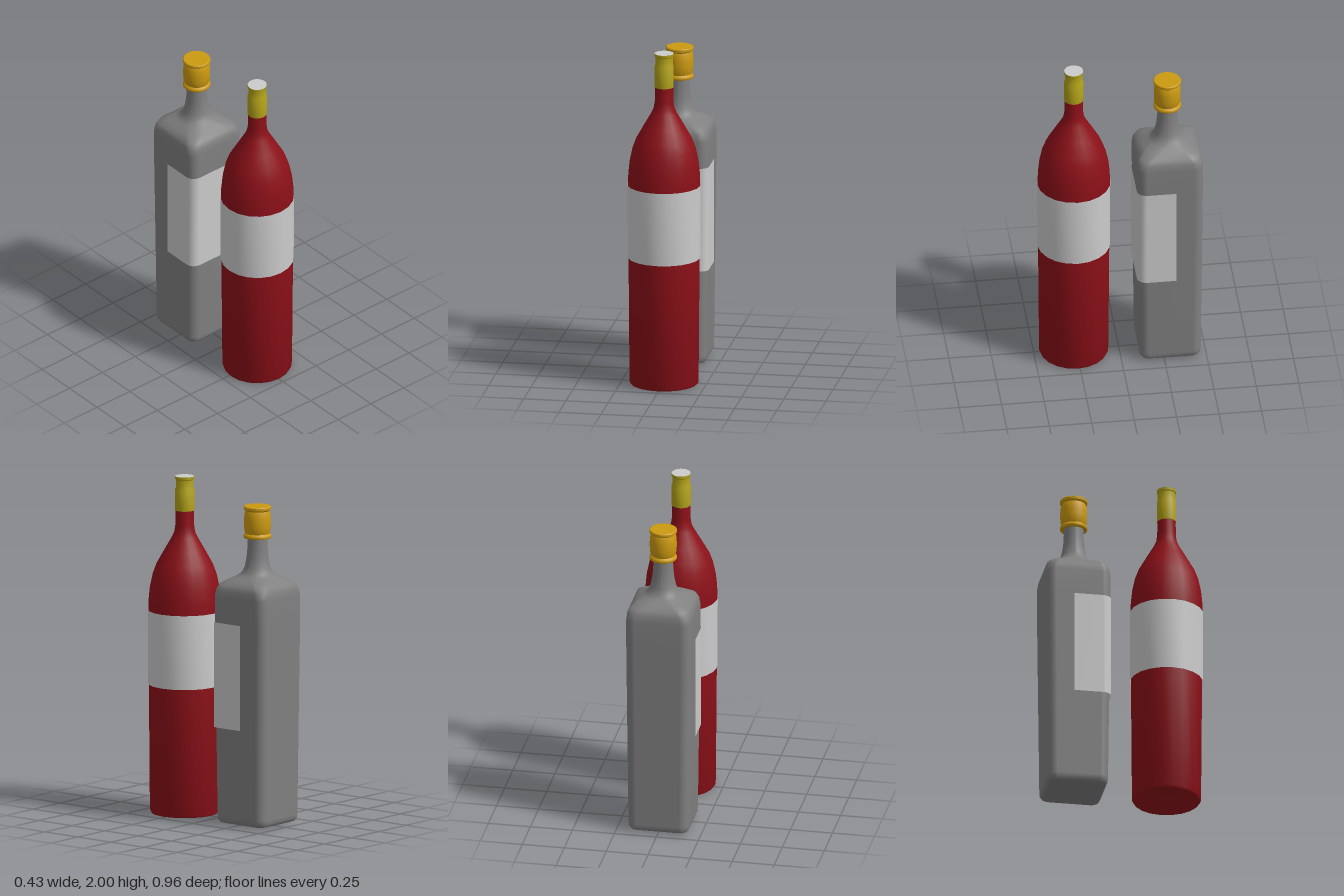
import * as THREE from 'three';
import { toCreasedNormals } from 'three/addons/utils/BufferGeometryUtils.js';

const material = (color) => new THREE.MeshStandardMaterial({ color, side: THREE.DoubleSide });
const grey = material(0xcccccc);
const smokedGlass = material(0x808080);
const redGlass = material(0x8c1018);
const foilGold = material(0xb0a018);
const capGold = material(0xcc9a10);

function addMesh(group, name, geometry, mat) {
  const mesh = new THREE.Mesh(geometry, mat);
  mesh.name = name;
  group.add(mesh);
}

// Turned part from [radius, height] pairs, bottom to top
function turned(profile, sides) {
  const points = profile.map(([r, y]) => new THREE.Vector2(r, y));
  return toCreasedNormals(new THREE.LatheGeometry(points, sides), 0.7);
}

// Rounded square outline; a circle when corner equals half
function roundedSquare(half, corner, steps = 6) {
  const points = [];
  for (let q = 0; q < 4; q++) {
    const sx = q === 0 || q === 3 ? 1 : -1;
    const sz = q < 2 ? 1 : -1;
    for (let i = 0; i <= steps; i++) {
      const a = (q + i / steps) * Math.PI / 2;
      points.push([sx * (half - corner) + corner * Math.cos(a), sz * (half - corner) + corner * Math.sin(a)]);
    }
  }
  return points;
}

// Skin between stacked outlines, each { y, points }
function loft(rings, closed) {
  const n = rings[0].points.length;
  const positions = [], index = [];
  for (const { y, points } of rings) for (const [x, z] of points) positions.push(x, y, z);
  for (let k = 0; k < rings.length - 1; k++) {
    for (let i = 0; i < (closed ? n : n - 1); i++) {
      const a = k * n + i, b = k * n + (i + 1) % n;
      index.push(a, a + n, b, b, a + n, b + n);
    }
  }
  if (closed) {
    // Flat underside
    positions.push(0, rings[0].y, 0);
    const centre = positions.length / 3 - 1;
    for (let i = 0; i < n; i++) index.push(centre, i, (i + 1) % n);
  }
  const geometry = new THREE.BufferGeometry();
  geometry.setAttribute('position', new THREE.Float32BufferAttribute(positions, 3));
  geometry.setIndex(index);
  geometry.computeVertexNormals();
  return geometry;
}

function roundBottle() {
  const group = new THREE.Group();
  group.name = 'roundBottle';
  // Body with a hollow pushed up into the base
  addMesh(group, 'roundBottleBody', turned([
    [0, 0.1], [0.08, 0.09], [0.15, 0.05], [0.185, 0.006], [0.197, 0], [0.204, 0.015],
    [0.21, 0.76], [0.213, 1.2], [0.212, 1.26], [0.204, 1.34], [0.187, 1.42], [0.165, 1.48],
    [0.12, 1.56], [0.074, 1.64], [0.061, 1.67], [0.055, 1.71], [0.054, 1.82],
  ], 20), redGlass);
  addMesh(group, 'roundBottleLabel', turned([[0.214, 0.765], [0.2155, 1.205]], 20), grey);
  addMesh(group, 'neckFoil', turned([
    [0.053, 1.795], [0.057, 1.797], [0.057, 1.92], [0.052, 1.93], [0.052, 1.98], [0.056, 1.984], [0.056, 1.999],
  ], 20), foilGold);
  const top = new THREE.CircleGeometry(0.056, 20).rotateX(-Math.PI / 2).translate(0, 2, 0);
  addMesh(group, 'foilTop', top, grey);
  group.position.z = 0.264;
  return group;
}

function squareBottle() {
  const group = new THREE.Group();
  group.name = 'squareBottle';
  // [height, half width, corner radius]: square base to round neck
  const sections = [
    [0.01, 0.155, 0.04], [0.015, 0.168, 0.045], [0.03, 0.178, 0.05], [0.055, 0.181, 0.053],
    [0.6, 0.187, 0.055], [1.2, 0.193, 0.055], [1.36, 0.193, 0.055], [1.4, 0.188, 0.058],
    [1.43, 0.176, 0.065], [1.455, 0.142, 0.075], [1.475, 0.11, 0.085], [1.495, 0.089, 0.082],
    [1.53, 0.075, 0.075], [1.58, 0.065, 0.065], [1.64, 0.059, 0.059], [1.72, 0.057, 0.057],
  ];
  addMesh(group, 'squareBottleBody', loft(
    sections.map(([y, half, corner]) => ({ y, points: roundedSquare(half, corner) })), true), smokedGlass);

  // Label folded round the front and partway along both sides
  const front = roundedSquare(0.197, 0.055).slice(0, 14);
  const strip = [[0.197, -0.03], ...front, [-0.197, -0.03]];
  addMesh(group, 'squareBottleLabel', loft([{ y: 0.58, points: strip }, { y: 1.205, points: strip }], false), grey);

  // Stopper with flanges at both ends
  addMesh(group, 'stopper', turned([
    [0.05, 1.7], [0.078, 1.7], [0.081, 1.706], [0.081, 1.714], [0.077, 1.721], [0.071, 1.727],
    [0.077, 1.745], [0.079, 1.775], [0.079, 1.81], [0.076, 1.845], [0.07, 1.862],
    [0.08, 1.87], [0.081, 1.884], [0.077, 1.889], [0, 1.889],
  ], 32), capGold);
  group.position.z = -0.287;
  return group;
}

export function createModel() {
  const model = new THREE.Group();
  model.name = 'bottles';
  model.add(roundBottle(), squareBottle());
  return model;
}
